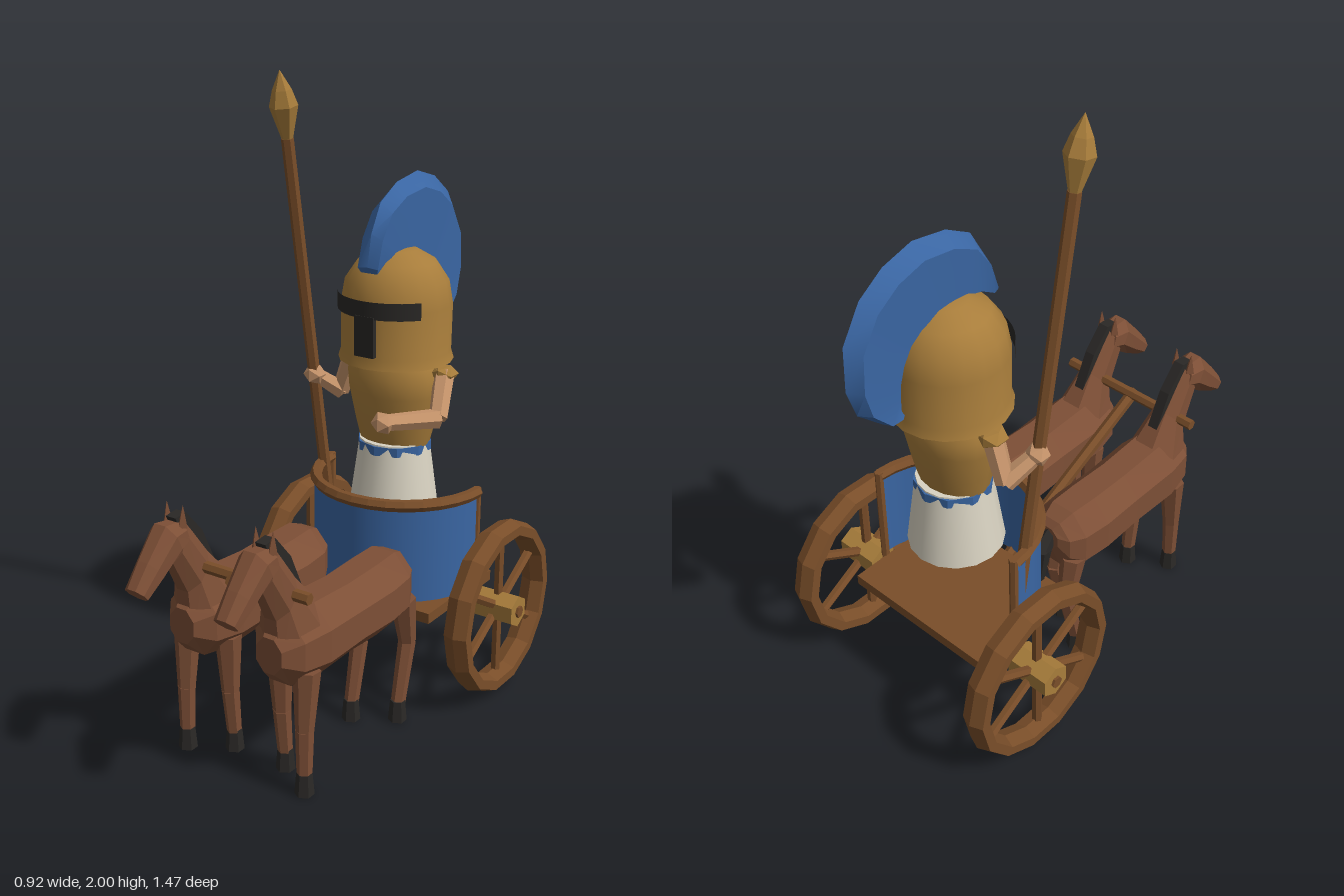
import * as THREE from 'three';
import { toCreasedNormals } from 'three/addons/utils/BufferGeometryUtils.js';

const V = (x, y, z) => new THREE.Vector3(x, y, z);
const flat = (color) => new THREE.MeshStandardMaterial({ color, flatShading: true });
const smooth = (color) => new THREE.MeshStandardMaterial({ color, side: THREE.DoubleSide });
const GOLD = 0xa87d3b, WOOD = 0x7a4e29, BLUE = 0x3a66a3, DARK = 0x2a2826;
const M = {
  gold: flat(GOLD), wood: flat(WOOD), hide: flat(0x7d4f36), dark: flat(DARK), skin: flat(0xc6946b),
  armor: smooth(GOLD), blue: smooth(BLUE), cloth: smooth(0xd9d3c2), visor: smooth(DARK), belt: flat(BLUE),
};

function add(parent, name, geo, mat, x = 0, y = 0, z = 0) {
  const m = new THREE.Mesh(geo, mat);
  m.name = name;
  m.position.set(x, y, z);
  parent.add(m);
  return m;
}

// Tapered rod from a to b
function rod(parent, name, a, b, ra, rb, mat, sides = 6) {
  const d = b.clone().sub(a);
  const m = add(parent, name, new THREE.CylinderGeometry(rb, ra, d.length(), sides), mat);
  m.position.copy(a).addScaledVector(d, 0.5);
  m.quaternion.setFromUnitVectors(V(0, 1, 0), d.normalize());
  return m;
}

// Closed skin over rings of points
function loft(rings) {
  const n = rings[0].length, pos = [], idx = [];
  rings.forEach((r) => r.forEach((p) => pos.push(p.x, p.y, p.z)));
  for (let i = 0; i < rings.length - 1; i++) {
    for (let j = 0; j < n; j++) {
      const a = i * n + j, b = i * n + (j + 1) % n;
      idx.push(a, b, b + n, a, b + n, a + n);
    }
  }
  const last = (rings.length - 1) * n;
  for (let j = 1; j < n - 1; j++) {
    idx.push(0, j + 1, j, last, last + j, last + j + 1);
  }
  const g = new THREE.BufferGeometry();
  g.setAttribute('position', new THREE.Float32BufferAttribute(pos, 3));
  g.setIndex(idx);
  g.computeVertexNormals();
  return g;
}

// Octagonal ring: centre y, z; half width; half height as a y, z vector
function oct([y, z, w, hy, hz = 0]) {
  const k = 1 / Math.cos(Math.PI / 8);
  return Array.from({ length: 8 }, (_, i) => {
    const a = (i + 0.5) * Math.PI / 4, c = Math.cos(a) * k, s = Math.sin(a) * k;
    return V(w * c, y + hy * s, z + hz * s);
  });
}

function makeHorse(side) {
  const g = new THREE.Group();
  g.name = side > 0 ? 'leftHorse' : 'rightHorse';
  g.position.x = 0.16 * side;
  add(g, 'horseBody', loft([
    [0.50, -0.12, 0.04, 0.04], [0.475, -0.10, 0.075, 0.085], [0.46, -0.05, 0.10, 0.118], [0.457, 0.05, 0.108, 0.118],
    [0.458, 0.2, 0.104, 0.113], [0.462, 0.38, 0.108, 0.12], [0.462, 0.48, 0.088, 0.105], [0.465, 0.535, 0.045, 0.055],
  ].map(oct)), M.hide);
  add(g, 'neck', loft([
    [0.50, 0.44, 0.085, 0.08, -0.085], [0.625, 0.48, 0.05, 0.05, -0.045], [0.745, 0.555, 0.04, 0.06, -0.025],
  ].map(oct)), M.hide);
  add(g, 'head', loft([
    [0.765, 0.535, 0.04, 0.04, 0.015], [0.76, 0.585, 0.05, 0.052, 0.025], [0.69, 0.66, 0.042, 0.036, 0.026],
    [0.638, 0.718, 0.036, 0.022, 0.02],
  ].map(oct)), M.hide);
  // Mane along the back of the neck
  const mane = new THREE.Shape([
    [-0.565, 0.82], [-0.52, 0.825], [-0.45, 0.745], [-0.38, 0.595], [-0.43, 0.59], [-0.51, 0.70],
  ].map(([x, y]) => new THREE.Vector2(x, y)));
  const maneGeo = new THREE.ExtrudeGeometry(mane, { depth: 0.036, bevelEnabled: false });
  maneGeo.translate(0, 0, -0.018).rotateY(Math.PI / 2);
  add(g, 'mane', maneGeo, M.dark);
  for (const s of [-1, 1]) {
    rod(g, 'ear', V(s * 0.027, 0.79, 0.545), V(s * 0.03, 0.855, 0.545), 0.018, 0.001, M.hide, 4);
    // The outer legs are spread further than the inner ones
    const outer = s === side, x = s * 0.0625;
    const fore = outer ? 0.455 : 0.38, hind = outer ? -0.05 : 0.03;
    const foreTop = outer ? 0.44 : 0.40, hock = outer ? -0.1 : -0.015;
    const legs = [
      [V(x, 0.40, foreTop), V(x, 0.21, (fore + foreTop) / 2 + 0.005), V(x, 0.05, fore)],
      [V(x, 0.42, hind - 0.02), V(x, 0.26, hock), V(x, 0.05, hind)],
    ];
    for (const [a, b, c] of legs) {
      rod(g, 'upperLeg', a, b, 0.042, 0.028, M.hide);
      rod(g, 'lowerLeg', b, c, 0.028, 0.023, M.hide);
      add(g, 'hoof', new THREE.CylinderGeometry(0.024, 0.03, 0.07, 6), M.dark, x, 0.035, c.z);
    }
  }
  rod(g, 'tailTop', V(0, 0.53, -0.09), V(0, 0.47, -0.15), 0.02, 0.033, M.dark);
  rod(g, 'tailEnd', V(0, 0.47, -0.15), V(0, 0.27, -0.17), 0.033, 0.008, M.dark);
  return g;
}

function makeWheel(side) {
  const g = new THREE.Group();
  g.name = side > 0 ? 'leftWheel' : 'rightWheel';
  g.position.set(0.377 * side, 0.30, -0.41);
  g.rotation.y = Math.PI / 2;
  add(g, 'rim', new THREE.TorusGeometry(0.262, 0.031, 6, 14), M.wood).scale.z = 1.5;
  for (let i = 0; i < 6; i++) {
    const a = Math.PI / 2 + i * Math.PI / 3;
    rod(g, 'spoke', V(0, 0, 0), V(Math.cos(a) * 0.25, Math.sin(a) * 0.25, 0), 0.016, 0.016, M.wood);
  }
  rod(g, 'hub', V(0, 0, -0.075), V(0, 0, 0.075), 0.054, 0.054, M.gold);
  return g;
}

function makeCart() {
  const g = new THREE.Group();
  g.name = 'cart';
  add(g, 'floor', new THREE.BoxGeometry(0.55, 0.035, 0.4), M.wood, 0, 0.332, -0.342);
  rod(g, 'axle', V(-0.46, 0.30, -0.41), V(0.46, 0.30, -0.41), 0.02, 0.02, M.wood);
  // Half-round front panel with its rail and end posts
  add(g, 'frontPanel', new THREE.CylinderGeometry(0.292, 0.292, 0.34, 16, 1, true, -Math.PI / 2, Math.PI),
    M.blue, 0, 0.515, -0.41);
  const rail = new THREE.TorusGeometry(0.287, 0.02, 6, 16, Math.PI).rotateX(Math.PI / 2);
  add(g, 'rail', rail, M.wood, 0, 0.68, -0.41);
  for (const s of [-1, 1]) {
    rod(g, 'railPost', V(s * 0.285, 0.34, -0.41), V(s * 0.285, 0.695, -0.41), 0.014, 0.014, M.wood);
    g.add(makeWheel(s));
  }
  rod(g, 'poleUnderFloor', V(0, 0.31, -0.52), V(0, 0.32, -0.12), 0.02, 0.02, M.wood);
  rod(g, 'pole', V(0, 0.32, -0.14), V(0, 0.64, 0.5), 0.02, 0.02, M.wood);
  rod(g, 'yoke', V(-0.26, 0.645, 0.475), V(0.26, 0.645, 0.475), 0.018, 0.018, M.wood);
  return g;
}

function makeDriver() {
  const g = new THREE.Group();
  g.name = 'driver';
  g.position.z = -0.36;
  add(g, 'skirt', new THREE.CylinderGeometry(0.115, 0.15, 0.25, 16), M.cloth, 0, 0.705, 0);
  add(g, 'belt', new THREE.CylinderGeometry(0.122, 0.122, 0.03, 10), M.belt, 0, 0.81, 0);
  const lathe = (pts, n) => toCreasedNormals(
    new THREE.LatheGeometry(pts.map(([x, y]) => new THREE.Vector2(x, y)), n), 0.7);
  add(g, 'breastplate', lathe([[0, 0.82], [0.12, 0.82], [0.138, 0.89], [0.16, 0.99], [0.165, 1.05],
    [0.14, 1.1], [0, 1.12]], 16), M.armor).scale.z = 0.78;
  add(g, 'helmet', lathe([[0, 1.1], [0.185, 1.1], [0.176, 1.13], [0.178, 1.28], [0.165, 1.355], [0.125, 1.415],
    [0.065, 1.45], [0, 1.458]], 18), M.armor);
  // Dark T-shaped opening of the helmet
  add(g, 'eyeSlot', new THREE.CylinderGeometry(0.187, 0.187, 0.055, 12, 1, true, -0.98, 1.96), M.visor, 0, 1.29, 0);
  add(g, 'mouthSlot', new THREE.BoxGeometry(0.07, 0.13, 0.02), M.dark, 0, 1.205, 0.178);

  // Crest: rows of outer z, y and inner z, y
  const rows = [
    [-0.19, 1.42, -0.20, 1.40], [-0.21, 1.52, -0.25, 1.43], [-0.26, 1.61, -0.31, 1.445], [-0.35, 1.66, -0.37, 1.45],
    [-0.47, 1.68, -0.43, 1.44], [-0.575, 1.65, -0.48, 1.42], [-0.66, 1.59, -0.52, 1.39], [-0.725, 1.48, -0.55, 1.34],
    [-0.73, 1.34, -0.565, 1.29], [-0.70, 1.245, -0.57, 1.24], [-0.62, 1.17, -0.57, 1.20], [-0.575, 1.175, -0.56, 1.18],
  ];
  const crest = loft(rows.map(([oz, oy, iz, iy]) => {
    const o = V(0, oy, oz), i = V(0, iy, iz), m = o.clone().lerp(i, 0.2);
    return [o, V(0.037, m.y, m.z), V(0.03, i.y, i.z), V(-0.03, i.y, i.z), V(-0.037, m.y, m.z)];
  }));
  add(g, 'crest', toCreasedNormals(crest, 0.5), M.blue, 0, 0, 0.36);

  // Arms: shoulder, elbow, hand
  const arms = [
    [V(0.175, 1.07, -0.01), V(0.215, 0.955, 0.09), V(0.115, 0.965, 0.25)],
    [V(-0.175, 1.07, -0.01), V(-0.228, 0.94, -0.02), V(-0.27, 1.01, 0.07)],
  ];
  for (const [a, b, c] of arms) {
    add(g, 'shoulderGuard', new THREE.IcosahedronGeometry(0.046, 0), M.gold, a.x, a.y, a.z).scale.y = 0.7;
    rod(g, 'upperArm', a, b, 0.034, 0.03, M.skin);
    rod(g, 'forearm', b, c, 0.032, 0.026, M.skin);
    add(g, 'hand', new THREE.IcosahedronGeometry(0.038, 0), M.skin, c.x, c.y, c.z);
  }
  return g;
}

function makeSpear() {
  const g = new THREE.Group();
  g.name = 'spear';
  g.position.set(-0.27, 2, -0.115);
  g.rotation.x = 0.172;
  add(g, 'shaft', new THREE.CylinderGeometry(0.02, 0.02, 1.46, 6), M.wood, 0, -0.94, 0);
  const head = [[0, -0.215], [0.018, -0.21], [0.045, -0.11], [0.03, -0.06], [0, 0]];
  add(g, 'spearhead', new THREE.LatheGeometry(head.map(([x, y]) => new THREE.Vector2(x, y)), 6), M.gold);
  return g;
}

export function createModel() {
  const model = new THREE.Group();
  model.name = 'chariot';
  model.add(makeCart(), makeHorse(1), makeHorse(-1), makeDriver(), makeSpear());
  return model;
}
